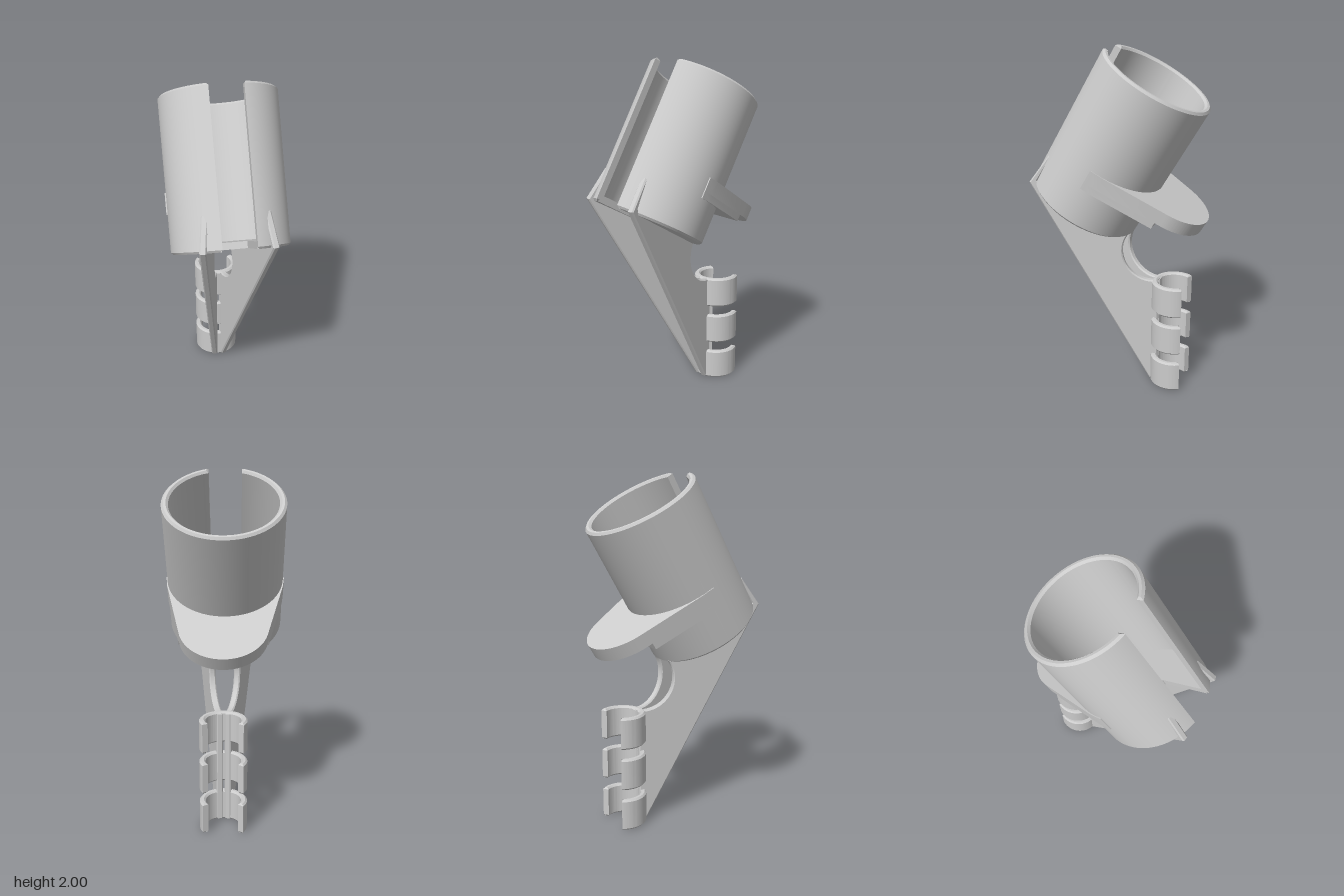
import * as THREE from 'three';
import { toCreasedNormals } from 'three/addons/utils/BufferGeometryUtils.js';

const deg = Math.PI / 180;
const material = new THREE.MeshStandardMaterial({ color: 0xcccccc });

// Extrudes a shape from 0 to depth, with a small chamfer kept inside the outline
function extrude(shape, depth, chamfer = 0) {
  const geometry = new THREE.ExtrudeGeometry(shape, {
    depth: depth - 2 * chamfer,
    curveSegments: 64,
    bevelEnabled: chamfer > 0,
    bevelSegments: 1,
    bevelSize: chamfer,
    bevelThickness: chamfer,
    bevelOffset: -chamfer,
  });
  geometry.translate(0, 0, chamfer);
  return geometry;
}

function addMesh(parent, name, geometry) {
  const mesh = new THREE.Mesh(toCreasedNormals(geometry, 0.4), material);
  mesh.name = name;
  parent.add(mesh);
  return mesh;
}

// Horizontal slab: shape x is sideways, shape y points to the back
function addSlab(parent, name, shape, bottom, top, chamfer) {
  const geometry = extrude(shape, top - bottom, chamfer);
  geometry.rotateX(-Math.PI / 2);
  geometry.translate(0, bottom, 0);
  return addMesh(parent, name, geometry);
}

// Ring with a gap around the angle dir; half gap angles for outer and inner arcs
function openRing(rOut, rIn, dir, gapOut, gapIn) {
  const shape = new THREE.Shape();
  shape.absarc(0, 0, rOut, dir + gapOut, dir - gapOut + 2 * Math.PI, false);
  shape.absarc(0, 0, rIn, dir - gapIn + 2 * Math.PI, dir + gapIn, true);
  return shape;
}

function createCup() {
  const cup = new THREE.Group();
  cup.name = 'cup';
  const rOut = 0.333, rIn = 0.295, slot = 0.093, length = 0.866;

  // Slotted wall with parallel slot sides
  const wall = openRing(rOut, rIn, -Math.PI / 2, Math.asin(slot / rOut), Math.asin(slot / rIn));
  addSlab(cup, 'cupWall', wall, 0, length, 0.012);

  // Floor, cut away below the slot
  const rFloor = 0.315, gap = Math.asin(slot / rFloor);
  const floor = new THREE.Shape();
  floor.absarc(0, 0, rFloor, -Math.PI / 2 + gap, 1.5 * Math.PI - gap, false);
  floor.lineTo(-slot, -0.02);
  floor.lineTo(slot, -0.02);
  addSlab(cup, 'cupFloor', floor, 0, 0.04);

  // Rear flange: tapers from the cup sides to a round lobe
  const rSide = 0.34, rLobe = 0.245, back = 0.41;
  const tilt = Math.asin((rSide - rLobe) / back);
  const tx = rSide * Math.cos(tilt), ty = rSide * Math.sin(tilt);
  const flange = new THREE.Shape();
  flange.moveTo(rSide, 0);
  flange.lineTo(tx, ty);
  flange.absarc(0, back, rLobe, tilt, Math.PI - tilt, false);
  flange.lineTo(-tx, ty);
  flange.lineTo(-rSide, 0);
  flange.absarc(0, 0, 0.315, Math.PI, 0, true);
  addSlab(cup, 'rearFlange', flange, 0.26, 0.34);

  // Thicker part under the flange, ending before the lobe
  const end = 0.43, ex = tx - (end - ty) * Math.tan(tilt);
  const support = new THREE.Shape();
  support.moveTo(rSide, 0);
  support.lineTo(tx, ty);
  support.lineTo(ex, end);
  support.lineTo(-ex, end);
  support.lineTo(-tx, ty);
  support.lineTo(-rSide, 0);
  support.absarc(0, 0, 0.315, Math.PI, 0, true);
  addSlab(cup, 'flangeSupport', support, 0.22, 0.26);

  cup.position.set(0, 1.1, 0.559);
  cup.rotation.x = -30 * deg;
  return cup;
}

// Upright arm: shape x is the distance from the clip axis, shape y is height
function armGeometry() {
  const thickness = 0.038;
  const shape = new THREE.Shape();
  shape.moveTo(0.095, 0.005);
  shape.lineTo(0.14, 0.005);
  shape.lineTo(0.848, 1.25);
  shape.lineTo(0.73, 1.41);
  shape.lineTo(0.715, 1.405);
  shape.lineTo(0.8, 1.26);
  shape.lineTo(0.285, 0.955);
  shape.absarc(0.13, 0.85, 0.18, 35 * deg, -90 * deg, true);
  shape.lineTo(0.095, 0.66);
  const geometry = extrude(shape, thickness, 0.007);
  geometry.translate(0, 0, -thickness / 2);
  geometry.rotateY(-Math.PI / 2);
  return geometry;
}

export function createModel() {
  const model = new THREE.Group();
  model.name = 'cupHolder';

  // Everything is symmetric about a plane through the clip axis, turned sideways
  const body = new THREE.Group();
  body.name = 'body';
  body.position.set(0.135, 0, -0.32);
  body.rotation.y = -22.5 * deg;
  model.add(body);

  body.add(createCup());

  // Two arms fanning out from the clip axis
  for (const side of [-1, 1]) {
    const arm = addMesh(body, side > 0 ? 'leftArm' : 'rightArm', armGeometry());
    arm.rotation.y = side * 13.3 * deg;
  }

  // Three snap clips open to the back
  const clip = openRing(0.135, 0.1, Math.PI / 2, 57 * deg, 57 * deg);
  for (const bottom of [0, 0.245, 0.488]) {
    addSlab(body, 'clip', clip, bottom, bottom + 0.184, 0.01);
  }
  return model;
}
